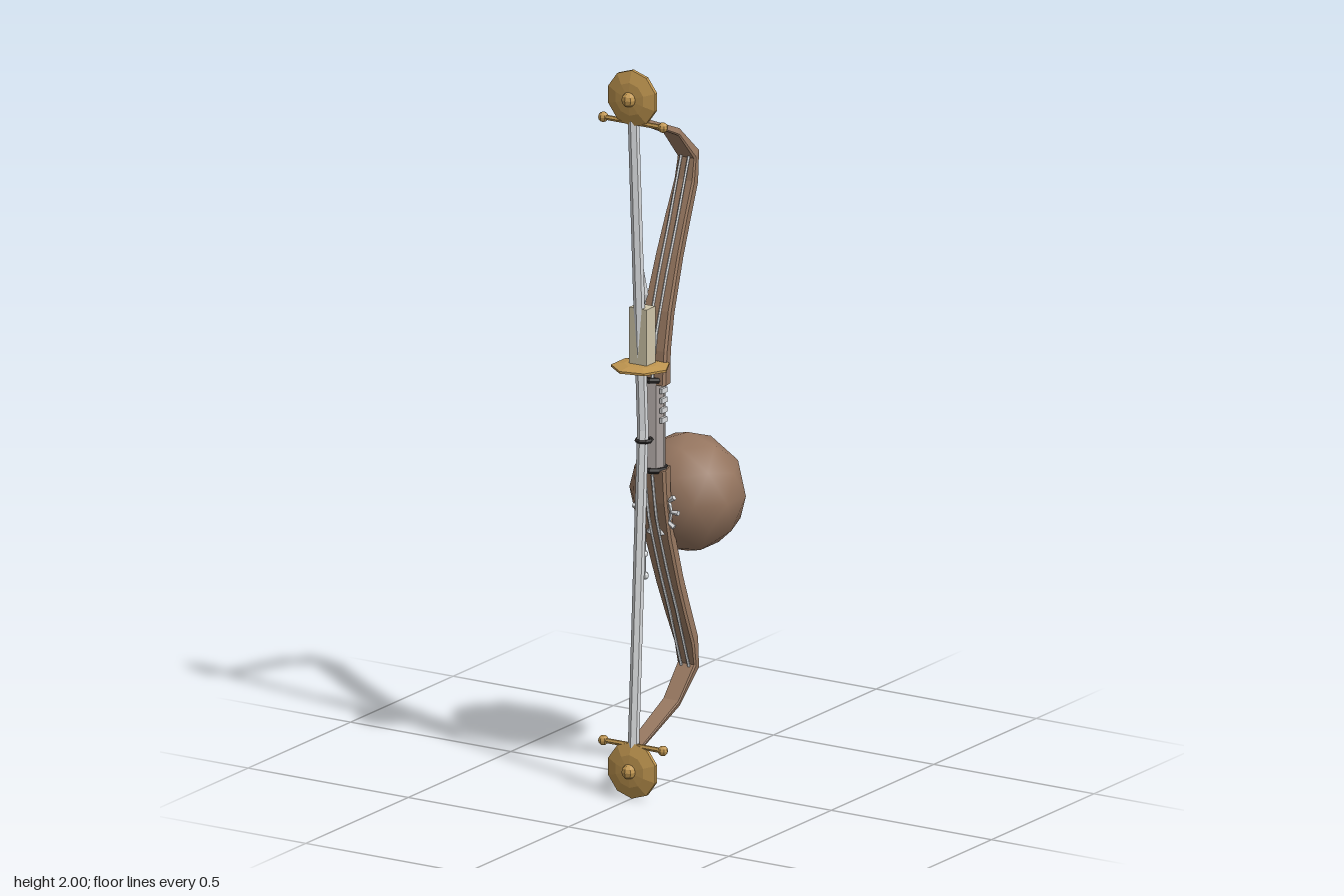
import * as THREE from 'three';

const mat = (name, color, flat = true) => {
  const m = new THREE.MeshStandardMaterial({ color, flatShading: flat });
  m.name = name;
  return m;
};

export function createModel() {
  const root = new THREE.Group();
  root.name = 'bow';
  const wood = mat('brown wood', 0x9a7a62);
  const orbWood = mat('brown orb', 0x967660, false);
  const gold = mat('gold', 0xc09650);
  const silver = mat('silver', 0xdadcde);
  const wrap = mat('grip grey', 0xa8a09d);
  const dark = mat('dark iron', 0x302d2c);
  const cream = mat('cream', 0xd0c6aa);

  const add = (parent, name, geo, material, x = 0, y = 0, z = 0) => {
    const m = new THREE.Mesh(geo, material);
    m.name = name;
    m.position.set(x, y, z);
    parent.add(m);
    return m;
  };
  const V = (x, y, z) => new THREE.Vector3(x, y, z);
  const profile = (pts) => pts.map(([r, y]) => new THREE.Vector2(r, y));
  // straight rod between two points
  const rod = (parent, name, a, b, r1, r2, sides, material) => {
    const d = b.clone().sub(a);
    const m = add(parent, name, new THREE.CylinderGeometry(r2, r1, d.length(), sides), material);
    m.position.copy(a).addScaledVector(d, 0.5);
    m.quaternion.setFromUnitVectors(V(0, 1, 0), d.normalize());
  };

  // limb stations: y above the middle, z, half width, half thickness
  const MID = 1.0;
  const stations = [
    [0.115, 0.083, 0.046, 0.025], [0.205, 0.075, 0.044, 0.022], [0.305, 0.052, 0.041, 0.021],
    [0.445, 0.002, 0.036, 0.02], [0.535, -0.036, 0.033, 0.02], [0.63, -0.078, 0.03, 0.019],
    [0.702, -0.088, 0.028, 0.017], [0.784, -0.005, 0.026, 0.01], [0.866, 0.183, 0.022, 0.006],
  ];
  // section: full width at the front, narrower flat back
  const section = [[-1, 0.6], [-0.9, 1], [0.9, 1], [1, 0.6], [0.76, -1], [-0.76, -1]];
  function limbGeometry() {
    const pos = [], idx = [], n = section.length, last = stations.length - 1;
    stations.forEach(([y, z, w, t], i) => {
      const p = stations[Math.max(i - 1, 0)], q = stations[Math.min(i + 1, last)];
      const len = Math.hypot(q[0] - p[0], q[1] - p[1]);
      const ny = -(q[1] - p[1]) / len, nz = (q[0] - p[0]) / len;
      for (const [sx, sn] of section) pos.push(sx * w, y + ny * sn * t, z + nz * sn * t);
    });
    for (let i = 0; i < last; i++) for (let j = 0; j < n; j++) {
      const a = i * n + j, b = i * n + (j + 1) % n;
      idx.push(a, b, b + n, a, b + n, a + n);
    }
    for (let j = 1; j < n - 1; j++) {
      idx.push(0, j + 1, j);
      idx.push(last * n, last * n + j, last * n + j + 1);
    }
    const g = new THREE.BufferGeometry();
    g.setAttribute('position', new THREE.Float32BufferAttribute(pos, 3));
    g.setIndex(idx);
    g.computeVertexNormals();
    return g;
  }

  const discProfile = profile([[0, -0.018], [0.045, -0.016], [0.077, -0.005], [0.077, 0.005], [0.045, 0.016], [0, 0.02]]);
  const stripPath = [[0.13, 0.111], [0.255, 0.09], [0.405, 0.04], [0.535, -0.01], [0.7, -0.068]];

  // each half: limb, thin strips, string, end disc with crossbar
  for (const s of [1, -1]) {
    const half = new THREE.Group();
    half.name = s > 0 ? 'upperHalf' : 'lowerHalf';
    half.position.y = MID;
    if (s < 0) half.rotation.z = Math.PI;
    root.add(half);
    add(half, 'limb', limbGeometry(), wood);
    for (const x of [-0.012, 0.012]) for (let i = 0; i < 4; i++) {
      rod(half, 'limbStrip', V(x, ...stripPath[i]), V(x, ...stripPath[i + 1]), 0.004, 0.004, 5, silver);
    }
    rod(half, 'bowstring', V(0, -0.01, 0.137), V(0, 0.86, 0.183), 0.015, 0.015, 6, silver);
    const disc = add(half, 'endDisc', new THREE.LatheGeometry(discProfile, 10), gold, 0, 0.922, 0.187);
    disc.rotation.x = Math.PI / 2;
    add(half, 'discKnob', new THREE.SphereGeometry(0.02, 8, 6), gold, 0, 0.922, 0.206);
    rod(half, 'crossbar', V(-0.09, 0.855, 0.185), V(0.09, 0.855, 0.185), 0.007, 0.007, 6, gold);
    for (const x of [-0.093, 0.093]) {
      add(half, 'crossbarBall', new THREE.SphereGeometry(0.014, 8, 6), gold, x, 0.855, 0.185);
    }
  }

  // grip with end collars and side studs
  add(root, 'grip', new THREE.CylinderGeometry(0.032, 0.032, 0.25, 8), wrap, 0, 1.005, 0.085);
  for (const y of [0.882, 1.13]) {
    const collar = add(root, 'gripCollar', new THREE.TorusGeometry(0.033, 0.008, 6, 10), dark, 0, y, 0.085);
    collar.rotation.x = Math.PI / 2;
  }
  for (const x of [-0.034, 0.034]) for (let i = 0; i < 4; i++) {
    add(root, 'gripStud', new THREE.BoxGeometry(0.008, 0.014, 0.026), silver, x, 1.02 + i * 0.027, 0.09);
  }
  const nock = add(root, 'stringRing', new THREE.TorusGeometry(0.02, 0.006, 5, 8), dark, 0, 0.97, 0.132);
  nock.rotation.x = Math.PI / 2;

  // guard plate, cream sleeve and blade
  const guard = profile([[0, -0.01], [0.045, -0.009], [0.079, -0.003], [0.079, 0.003], [0.045, 0.009], [0, 0.01]]);
  add(root, 'guard', new THREE.LatheGeometry(guard, 7).rotateY(Math.PI / 2), gold, 0, 1.175, 0.147);
  add(root, 'sleeve', new THREE.BoxGeometry(0.054, 0.16, 0.044), cream, 0, 1.258, 0.141);
  const blade = profile([[0, 0], [0.01, 0], [0.01, 0.015], [0.021, 0.04], [0, 0.135]]);
  add(root, 'blade', new THREE.LatheGeometry(blade, 4), silver, 0, 1.335, 0.143);

  // round orb behind the lower limb, one vertex straight up
  const ball = new THREE.IcosahedronGeometry(1, 1)
    .rotateX(-Math.atan((1 + Math.sqrt(5)) / 2)).rotateY(Math.PI / 2).scale(0.161, 0.163, 0.145);
  add(root, 'orb', ball, orbWood, 0, 0.775, -0.081);

  // charm ring of flared pegs around the lower limb, with a hanging pendant
  const charm = new THREE.Group();
  charm.name = 'charmRing';
  charm.position.set(0, 0.765, 0.073);
  root.add(charm);
  add(charm, 'ringBand', new THREE.TorusGeometry(0.048, 0.005, 5, 16), silver);
  for (let i = 0; i < 10; i++) {
    const a = (i / 10) * Math.PI * 2, c = Math.cos(a), s = Math.sin(a);
    rod(charm, 'peg', V(c * 0.046, s * 0.046, 0), V(c * 0.07, s * 0.07, 0), 0.005, 0.008, 5, silver);
  }
  rod(root, 'pendantCord', V(-0.03, 0.71, 0.08), V(-0.03, 0.59, 0.08), 0.003, 0.003, 5, silver);
  for (const [y, r] of [[0.64, 0.009], [0.58, 0.011]]) {
    add(root, 'pendantBead', new THREE.SphereGeometry(r, 6, 5), silver, -0.03, y, 0.08);
  }
  return root;
}
